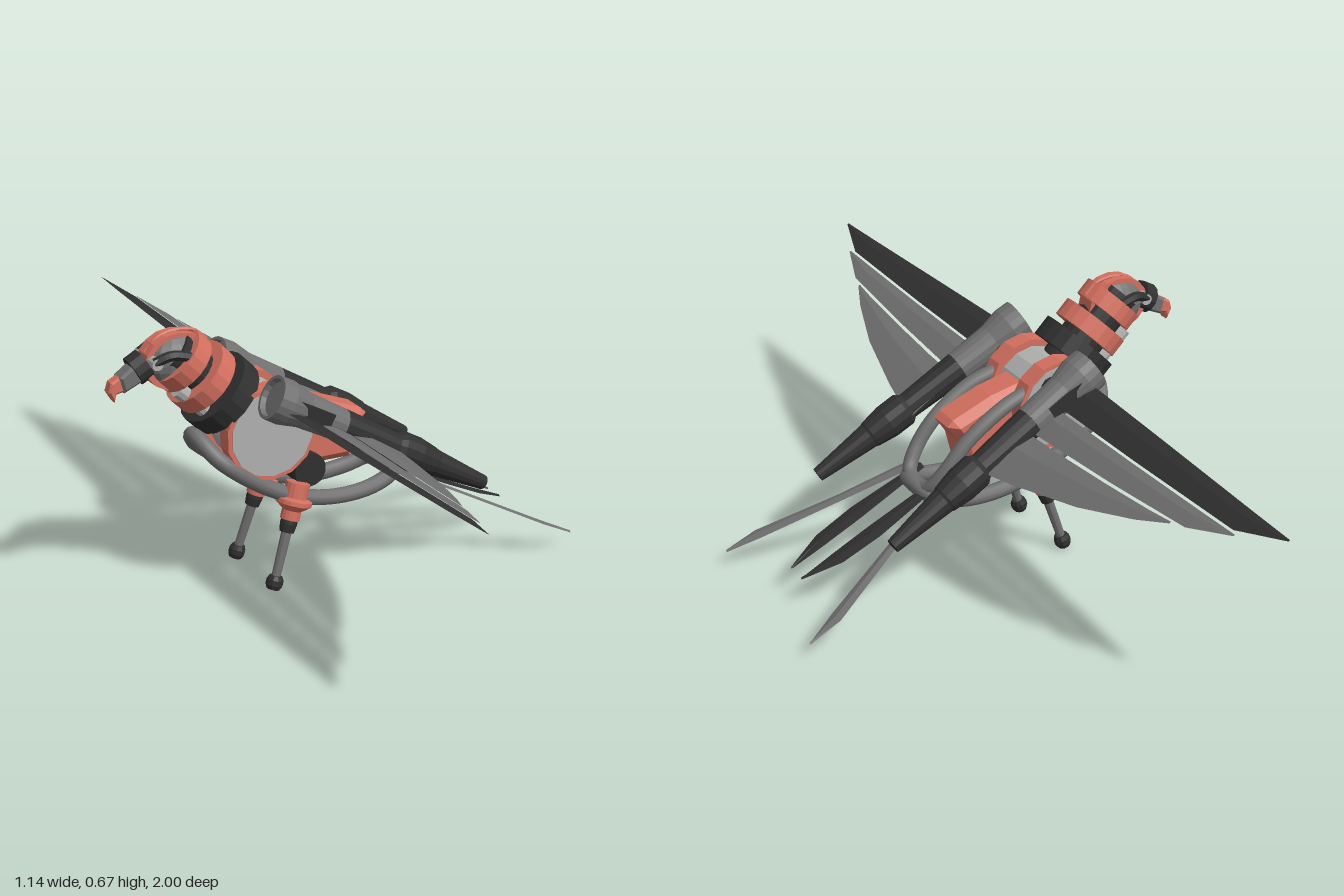
import * as THREE from 'three';

const CORAL = 0xd4705f, DARK = 0x303030, GREY = 0x707070, LIGHT = 0xb0b0b0;
const V = (x, y, z) => new THREE.Vector3(x, y, z);

function mesh(name, geometry, color, flat = true, side = THREE.FrontSide) {
  const m = new THREE.Mesh(geometry, new THREE.MeshStandardMaterial({ color, flatShading: flat, side }));
  m.name = name;
  return m;
}

// Turned part from point a to point b; profile is [radius, fraction along]
function turned(name, a, b, profile, color, sides = 16) {
  const len = a.distanceTo(b);
  const g = new THREE.LatheGeometry(profile.map(([r, t]) => new THREE.Vector2(r, t * len)), sides);
  const m = mesh(name, g, color, true, THREE.DoubleSide);
  m.position.copy(a);
  m.quaternion.setFromUnitVectors(V(0, 1, 0), b.clone().sub(a).normalize());
  return m;
}
const rod = (name, a, b, r1, r2, color, sides = 16) =>
  turned(name, a, b, [[0, 0], [r1, 0], [r2, 1], [0, 1]], color, sides);

// Side profile in x,y with thickness along z
function plate(name, pts, depth, color, bevel = 0) {
  const shape = new THREE.Shape(pts.map(([x, y]) => new THREE.Vector2(x, y)));
  const g = new THREE.ExtrudeGeometry(shape, {
    depth: depth - 2 * bevel, bevelEnabled: bevel > 0, bevelSize: bevel,
    bevelOffset: -bevel, bevelThickness: bevel, bevelSegments: 1,
  });
  g.translate(0, 0, -depth / 2 + bevel);
  return mesh(name, g, color);
}

// Ridged thin blade through cross-sections of three points
function blade(name, sections, color) {
  const pos = sections.flat().flatMap(p => [p.x, p.y, p.z]), index = [];
  for (let i = 0; i < sections.length - 1; i++) {
    for (let j = 0; j < 2; j++) {
      const a = i * 3 + j, b = a + 3;
      index.push(a, b, a + 1, a + 1, b, b + 1);
    }
  }
  const g = new THREE.BufferGeometry();
  g.setAttribute('position', new THREE.Float32BufferAttribute(pos, 3));
  g.setIndex(index);
  g.computeVertexNormals();
  return mesh(name, g, color, true, THREE.DoubleSide);
}

// Wing feather rows are [z, leading x, trailing x]
function wingFeather(name, rows, s, color) {
  const height = (x, z) => 0.485 + 0.02 * z * z - 0.5 * (x + 0.2);
  return blade(name, rows.map(([z, x0, x1]) => {
    const xm = x0 + (x1 - x0) * 0.4;
    return [V(x0, height(x0, z), s * z), V(xm, height(xm, z) + (x1 - x0) * 0.08, s * z), V(x1, height(x1, z), s * z)];
  }), color);
}

// Tail feather rows are [x, inner z, outer z]
function tailFeather(name, rows, s, color) {
  const y = x => 0.25 - 0.47 * (x - 0.13);
  return blade(name, rows.map(([x, z0, z1]) =>
    [V(x, y(x), s * z0), V(x, y(x) + 0.005, s * (z0 + z1) / 2), V(x, y(x), s * z1)]), color);
}

function buildHead() {
  const head = new THREE.Group();
  head.name = 'head';
  const dir = V(0.707, -0.707, 0);
  const at = t => V(-0.385, 0.588, 0).addScaledVector(dir, t);
  const collar = (name, t0, t1, r, color) => head.add(rod(name, at(t0), at(t1), r, r, color, 20));
  collar('neckCore', -0.04, 0.24, 0.058, DARK);
  collar('upperNeckRing', -0.022, 0.022, 0.077, CORAL);
  collar('lowerNeckRing', 0.048, 0.094, 0.088, CORAL);
  collar('neckBase', 0.112, 0.165, 0.1, DARK);
  // Throat pistons
  for (const s of [-1, 1])
    head.add(rod('throatPiston', V(-0.41, 0.53, s * 0.035), V(-0.29, 0.42, s * 0.035), 0.02, 0.02, LIGHT, 10));

  // Skull with a coral hood strip and crest
  const skull = mesh('skull', new THREE.SphereGeometry(1, 16, 12), GREY);
  skull.scale.set(0.08, 0.066, 0.055);
  skull.position.set(-0.4, 0.592, 0);
  const hood = mesh('hood', new THREE.CylinderGeometry(1, 1, 0.05, 16, 1, false), CORAL);
  hood.rotation.x = Math.PI / 2;
  hood.scale.set(0.085, 1, 0.07);
  hood.position.copy(skull.position);
  const crest = new THREE.CatmullRomCurve3([V(-0.475, 0.62, 0), V(-0.44, 0.652, 0), V(-0.4, 0.662, 0), V(-0.35, 0.655, 0), V(-0.32, 0.63, 0)]);
  head.add(skull, hood, mesh('crest', new THREE.TubeGeometry(crest, 16, 0.005, 6), CORAL));
  for (const s of [-1, 1]) {
    head.add(rod('eye', V(-0.465, 0.603, s * 0.025), V(-0.465, 0.603, s * 0.055), 0.014, 0.014, LIGHT, 12));
    const brow = new THREE.CatmullRomCurve3([V(-0.47, 0.605, s * 0.045), V(-0.43, 0.62, s * 0.055), V(-0.38, 0.61, s * 0.06)]);
    head.add(mesh('brow', new THREE.TubeGeometry(brow, 10, 0.012, 6), DARK));
  }

  // Face band and hooked beak
  head.add(rod('faceBand', V(-0.505, 0.578, 0), V(-0.475, 0.595, 0), 0.037, 0.037, DARK, 12));
  head.add(plate('beak', [[-0.5, 0.605], [-0.545, 0.573], [-0.535, 0.535], [-0.48, 0.56]], 0.045, GREY, 0.006));
  head.add(plate('beakTip', [[-0.54, 0.576], [-0.565, 0.562], [-0.572, 0.54], [-0.557, 0.514], [-0.552, 0.533], [-0.53, 0.538]], 0.032, CORAL, 0.005));
  return head;
}

function buildBody() {
  const body = new THREE.Group();
  body.name = 'body';
  body.add(rod('bodyCore', V(-0.195, 0.4, -0.05), V(-0.195, 0.4, 0.05), 0.1, 0.1, LIGHT, 14));
  for (const s of [-1, 1]) {
    body.add(rod('bodyRim', V(-0.195, 0.4, s * 0.048), V(-0.195, 0.4, s * 0.092), 0.118, 0.118, CORAL, 14));
    body.add(rod('bodyDisc', V(-0.195, 0.4, s * 0.09), V(-0.195, 0.4, s * 0.095), 0.107, 0.107, LIGHT, 14));
  }
  body.add(plate('rump', [[-0.13, 0.46], [-0.13, 0.34], [-0.05, 0.28], [0.045, 0.28], [0.06, 0.34],
    [0.09, 0.385], [0.075, 0.4], [-0.03, 0.44]], 0.105, CORAL, 0.02));
  body.add(rod('hipAxle', V(-0.085, 0.28, -0.075), V(-0.085, 0.28, 0.075), 0.042, 0.042, DARK, 18));

  // Closed belly frame and the arms rising from its tail end
  const half = [[-0.32, 0.345, 0.07], [-0.2, 0.258, 0.078], [-0.1, 0.215, 0.078], [0, 0.2, 0.078], [0.09, 0.208, 0.075], [0.15, 0.228, 0.06]];
  const loop = [V(-0.355, 0.395, 0), ...half.map(p => V(...p)), V(0.165, 0.235, 0),
    ...half.slice().reverse().map(([x, y, z]) => V(x, y, -z))];
  body.add(mesh('bellyFrame', new THREE.TubeGeometry(new THREE.CatmullRomCurve3(loop, true), 80, 0.02, 10, true), GREY, false));
  const arm = [[-0.12, 0.45, 0.07], [-0.04, 0.425, 0.077], [0.06, 0.36, 0.077], [0.12, 0.29, 0.072], [0.15, 0.245, 0.05]];
  const arch = [...arm.map(p => V(...p)), V(0.158, 0.235, 0), ...arm.slice().reverse().map(([x, y, z]) => V(x, y, -z))];
  body.add(mesh('rearArch', new THREE.TubeGeometry(new THREE.CatmullRomCurve3(arch), 60, 0.019, 10), GREY, false));
  return body;
}

function buildSide(s) {
  const side = new THREE.Group();
  side.name = s > 0 ? 'leftSide' : 'rightSide';

  // Thruster pod
  const front = V(-0.23, 0.52, s * 0.16), end = V(0.33, 0.212, s * 0.196);
  side.add(turned('podIntake', front, end, [[0, 0.02], [0.043, 0.02], [0.046, 0], [0.054, 0], [0.055, 0.06], [0.044, 0.14], [0.04, 0.31], [0, 0.31]], GREY, 18));
  side.add(turned('podBarrel', front, end, [[0, 0.28], [0.036, 0.28], [0.04, 0.31], [0.034, 0.56], [0.044, 0.58], [0.044, 0.66],
    [0.036, 0.74], [0.033, 0.75], [0.018, 1], [0, 1]], DARK, 14));
  side.add(rod('podStrut', V(-0.16, 0.46, 0), V(-0.16, 0.46, s * 0.16), 0.025, 0.025, DARK, 10));
  const mount = mesh('wingMount', new THREE.BoxGeometry(0.1, 0.035, 0.04), DARK);
  mount.position.set(-0.14, 0.475, s * 0.19);
  mount.rotation.z = -0.5;
  side.add(mount);

  // Wing of three overlapping feathers
  side.add(wingFeather('leadingFeather', [[0.14, -0.217, -0.13], [0.5, -0.203, -0.13], [0.87, -0.184, -0.13], [1, -0.177, -0.173]], s, DARK));
  side.add(wingFeather('middleFeather', [[0.14, -0.124, -0.045], [0.5, -0.124, -0.062], [0.77, -0.124, -0.078], [0.885, -0.124, -0.12]], s, GREY));
  side.add(wingFeather('trailingFeather', [[0.14, -0.04, 0.1], [0.3, -0.045, 0.07], [0.5, -0.055, 0.022], [0.65, -0.064, -0.03], [0.73, -0.071, -0.066]], s, GREY));

  // Tail pair
  side.add(tailFeather('outerTailFeather', [[0.12, 0.05, 0.085], [0.3, 0.12, 0.15], [0.49, 0.195, 0.235], [0.57, 0.232, 0.238]], s, GREY));
  side.add(tailFeather('innerTailFeather', [[0.12, 0.03, 0.06], [0.3, 0.022, 0.078], [0.4, 0.022, 0.072], [0.49, 0.025, 0.03]], s, DARK));

  // Leg
  const hip = V(-0.125, 0.255, s * 0.085), foot = V(-0.205, 0.005, s * 0.106);
  side.add(turned('legSocket', hip, foot, [[0, -0.02], [0.03, -0.02], [0.03, 0.12], [0.045, 0.14], [0.045, 0.18], [0.024, 0.24], [0.024, 0.33], [0, 0.33]], CORAL, 16));
  side.add(turned('knee', hip, foot, [[0, 0.32], [0.02, 0.32], [0.021, 0.37], [0.018, 0.45], [0, 0.45]], DARK, 12));
  side.add(turned('shin', hip, foot, [[0.013, 0.4], [0.011, 0.92]], GREY, 10));
  side.add(turned('foot', hip, foot, [[0, 0.87], [0.016, 0.87], [0.021, 0.91], [0.021, 0.96], [0.016, 1], [0, 1]], DARK, 10));
  return side;
}

export function createModel() {
  const model = new THREE.Group();
  model.name = 'mechanicalBird';
  model.add(buildHead(), buildBody(), buildSide(1), buildSide(-1));
  return model;
}
